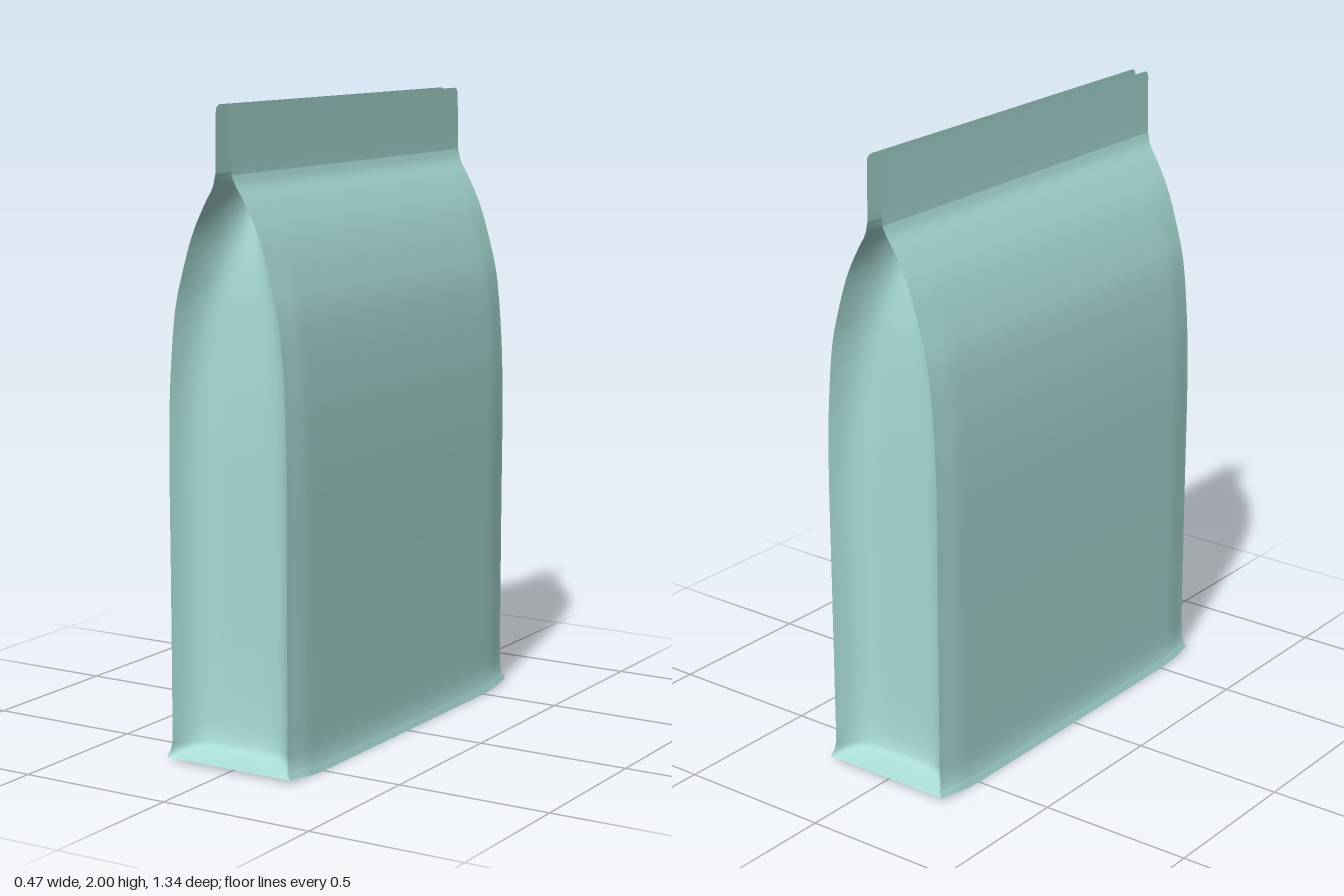
import * as THREE from 'three';

const material = new THREE.MeshStandardMaterial({ color: 0xa9dcd5, side: THREE.DoubleSide });
const { smoothstep, lerp } = THREE.MathUtils;

// Side profile of the bag: half width, height, depth of the end gusset
const profile = new THREE.CatmullRomCurve3([
  [0.236, 0, 0], [0.231, 0.015, 0.045], [0.226, 0.032, 0.075], [0.221, 0.07, 0.088], [0.22, 0.2, 0.097],
  [0.22, 0.6, 0.1], [0.22, 1.0, 0.1], [0.212, 1.2, 0.105], [0.19, 1.4, 0.115], [0.163, 1.5, 0.127],
  [0.12, 1.62, 0.15], [0.073, 1.71, 0.175], [0.04, 1.765, 0.192], [0.028, 1.8, 0.2],
].map((p) => new THREE.Vector3(...p)));
const bodyRows = profile.getPoints(90);

// The flat lips above the body, with extra rows for the rounded top corners
const lipRows = [1.85, 1.9, 1.95, 1.98, 1.986, 1.991, 1.995, 1.998, 2]
  .map((y) => new THREE.Vector3(lerp(0.028, 0.025, (y - 1.8) / 0.2), y, 0));
const panelRows = [...bodyRows, ...lipRows];

// Half length along z at a given height
function halfLength(y) {
  const r = 0.02;
  const z = 0.66 + 0.008 * (1 - smoothstep(y, 0, 0.05)) + 0.008 * smoothstep(y, 1.74, 1.8);
  const over = Math.max(0, y - (2 - r));
  return z - r + Math.sqrt(Math.max(0, r * r - over * over));
}

// The base lifts slightly toward its ends
const lift = (y, z) => 0.012 * smoothstep(Math.abs(z), 0.5, 0.66) * Math.max(0, 1 - y / 0.08);

// Panel half width, drawn in a little near the long edges
const panelX = (w, s) => w * (1 - 0.05 * smoothstep(Math.abs(s), 0.86, 1) * smoothstep(w, 0.03, 0.2));

// Surface from a grid of points; at(u, row) returns [x, y, z]
function sheet(name, columns, rows, at) {
  const position = [], index = [];
  rows.forEach((row, j) => columns.forEach((u, i) => {
    position.push(...at(u, row));
    if (i && j) {
      const d = j * columns.length + i, c = d - 1, b = d - columns.length, a = b - 1;
      index.push(a, b, d, a, d, c);
    }
  }));
  const geometry = new THREE.BufferGeometry();
  geometry.setAttribute('position', new THREE.Float32BufferAttribute(position, 3));
  geometry.setIndex(index);
  geometry.computeVertexNormals();
  const mesh = new THREE.Mesh(geometry, material);
  mesh.name = name;
  return mesh;
}

const span = (n) => Array.from({ length: n + 1 }, (_, i) => (2 * i) / n - 1);

export function createModel() {
  const bag = new THREE.Group();
  bag.name = 'gussetedBag';
  const across = span(40);

  for (const side of [1, -1]) {
    // Broad panel, running from the base up through the lip
    bag.add(sheet(side > 0 ? 'leftPanel' : 'rightPanel', across, panelRows, (s, row) => {
      const z = -side * s * halfLength(row.y);
      return [side * panelX(row.x, s), row.y + lift(row.y, z), z];
    }));

    // End gusset: a rounded recess that folds into a V under the lip
    bag.add(sheet(side > 0 ? 'frontGusset' : 'backGusset', across, bodyRows, (s, row) => {
      const power = lerp(5, 1.4, smoothstep(row.y, 1.2, 1.8));
      const z = halfLength(row.y) - row.z * (1 - Math.abs(s) ** power);
      return [side * s * panelX(row.x, 1), row.y + lift(row.y, 0.66), side * z];
    }));
  }

  // Base
  bag.add(sheet('base', span(12), across, (u, s) => {
    const z = s * halfLength(0);
    return [u * panelX(bodyRows[0].x, s), lift(0, z), z];
  }));
  // The base faces down
  const base = bag.children[bag.children.length - 1].geometry;
  base.setIndex(Array.from(base.index.array).reverse());
  base.computeVertexNormals();

  return bag;
}
